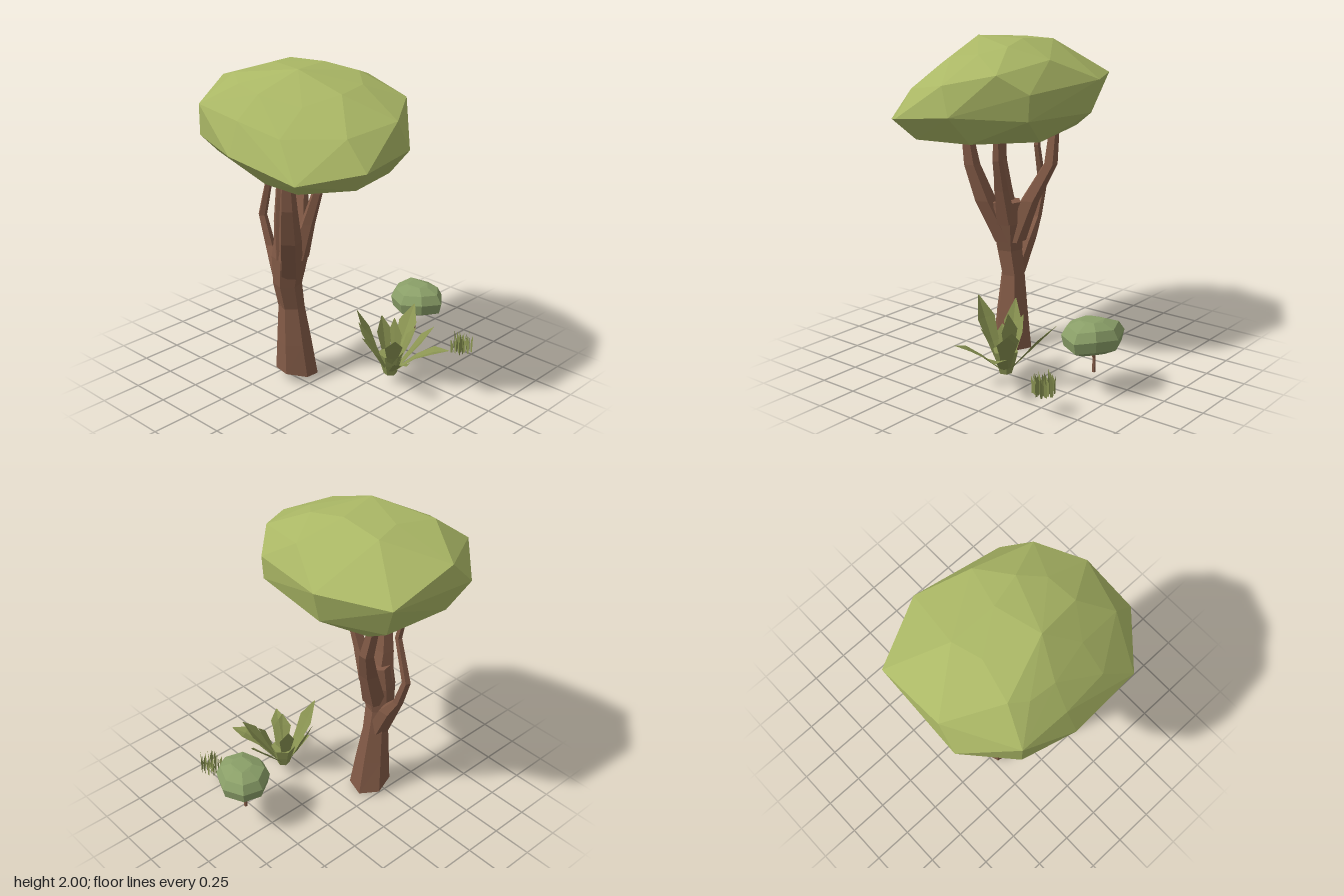
import * as THREE from 'three';
import { ConvexGeometry } from 'three/addons/geometries/ConvexGeometry.js';

const mat = (color, side = THREE.FrontSide) => new THREE.MeshStandardMaterial({ color, side, flatShading: true });
const V = (p) => new THREE.Vector3(...p);

function seeded(seed) {
  return () => {
    seed = (seed * 16807) % 2147483647;
    return seed / 2147483647;
  };
}

function add(parent, name, geometry, material) {
  const mesh = new THREE.Mesh(geometry, material);
  mesh.name = name;
  parent.add(mesh);
}

function fromTriangles(positions) {
  const g = new THREE.BufferGeometry();
  g.setAttribute('position', new THREE.Float32BufferAttribute(positions, 3));
  g.computeVertexNormals();
  return g;
}

// Faceted limb: rings [x, y, z, radius, forward tilt] joined and capped
function limb(rings, sides = 6) {
  const out = [];
  const at = ([x, y, z, r, tilt = 0], j) => {
    const a = ((j + 0.25) / sides) * Math.PI * 2;
    return [x + Math.cos(a) * r, y + Math.sin(a) * r * tilt, z + Math.sin(a) * r];
  };
  const last = rings[rings.length - 1];
  for (let j = 0; j < sides; j++) {
    for (let i = 0; i < rings.length - 1; i++) {
      const a = at(rings[i], j), b = at(rings[i], j + 1);
      const c = at(rings[i + 1], j), d = at(rings[i + 1], j + 1);
      out.push(...a, ...c, ...b, ...b, ...c, ...d);
    }
    out.push(...rings[0].slice(0, 3), ...at(rings[0], j), ...at(rings[0], j + 1));
    out.push(...last.slice(0, 3), ...at(last, j + 1), ...at(last, j));
  }
  return fromTriangles(out);
}

// Folded leaf from root to tip, bowed upward, widest beyond the middle
function leaf(root, tip, width, bow) {
  const a = V(root), b = V(tip);
  const dir = b.clone().sub(a);
  const side = new THREE.Vector3(-dir.z, 0, dir.x).normalize();
  const up = side.clone().cross(dir).normalize();
  if (up.y < 0) up.negate();
  const rows = [[0, 0.4], [0.4, 0.65], [0.72, 1], [1, 0.06]].map(([t, w]) => {
    const mid = a.clone().lerp(b, t);
    mid.y += Math.sin(t * Math.PI) * bow;
    return [-1, 0, 1].map((s) => mid.clone()
      .addScaledVector(side, s * w * width / 2)
      .addScaledVector(up, Math.abs(s) * w * width * 0.1).toArray());
  });
  const out = [];
  for (let i = 0; i < 3; i++) {
    for (let s = 0; s < 2; s++) {
      const p = rows[i][s], q = rows[i][s + 1], r = rows[i + 1][s], t = rows[i + 1][s + 1];
      out.push(...p, ...q, ...r, ...q, ...t, ...r);
    }
  }
  return fromTriangles(out);
}

function makeTree() {
  const tree = new THREE.Group();
  tree.name = 'tree';
  const bark = mat(0x825a46);

  // Trunk, cut at a slant at the foot
  add(tree, 'trunk', limb([
    [-0.14, 0.031, 0.22, 0.13, 0.25], [-0.15, 0.25, 0.23, 0.106], [-0.165, 0.48, 0.235, 0.08],
    [-0.165, 0.64, 0.265, 0.088], [-0.145, 0.82, 0.26, 0.11], [-0.13, 0.96, 0.26, 0.1],
  ]), bark);

  // Branches rising into the crown
  const branches = [
    [[-0.18, 0.48, 0.24, 0.07], [-0.29, 0.7, 0.22, 0.062], [-0.375, 0.82, 0.21, 0.034],
      [-0.435, 1.0, 0.21, 0.028], [-0.365, 1.29, 0.2, 0.022], [-0.4, 1.45, 0.2, 0.018]],
    [[-0.13, 0.7, 0.27, 0.075], [-0.04, 0.97, 0.36, 0.072], [0.015, 1.2, 0.42, 0.054], [0.04, 1.48, 0.45, 0.032]],
    [[-0.16, 0.7, 0.23, 0.08], [-0.2, 0.97, 0.13, 0.062], [-0.28, 1.2, 0.03, 0.046], [-0.34, 1.48, 0.04, 0.032]],
    [[-0.15, 0.82, 0.28, 0.085], [-0.15, 1.05, 0.31, 0.06], [-0.14, 1.22, 0.32, 0.044], [-0.135, 1.48, 0.31, 0.034]],
    [[-0.1, 0.82, 0.24, 0.07], [-0.03, 1.05, 0.22, 0.045], [0.03, 1.25, 0.2, 0.034], [0.045, 1.48, 0.19, 0.022]],
  ];
  branches.forEach((b, i) => add(tree, `branch${i + 1}`, limb(b, 5), bark));

  // Crown: underside, rim and low dome corners, all in one faceted mass
  const crown = [
    [-0.05, 1.36, 0.2], [-0.48, 1.46, 0.5], [0.05, 1.41, 0.62], [0.3, 1.41, 0.62], [0.52, 1.43, 0.4],
    [0.45, 1.43, 0.05], [0.02, 1.4, -0.12], [-0.4, 1.44, -0.08], [-0.62, 1.56, 0.3], [-0.56, 1.54, -0.1],
    [-0.67, 1.71, 0.44], [-0.42, 1.61, 0.68], [-0.09, 1.57, 0.76], [0.39, 1.5, 0.73], [0.64, 1.56, 0.45],
    [0.61, 1.6, 0.07], [0.3, 1.57, -0.25], [-0.24, 1.56, -0.3], [0.3, 1.72, -0.26], [-0.25, 1.76, -0.35],
    [-0.65, 1.75, -0.15], [-0.65, 1.86, 0.3], [-0.42, 1.79, 0.68], [-0.1, 1.75, 0.68], [0.2, 1.7, 0.65],
    [0.58, 1.77, 0.14], [0.5, 1.72, 0.45], [0.42, 1.83, -0.12], [0.05, 1.89, -0.21], [-0.33, 1.97, 0.05],
    [0.03, 2, 0.34], [-0.04, 1.99, 0.06], [0.17, 1.96, 0], [0.3, 1.92, 0.11], [0.32, 1.9, 0.3],
    [-0.28, 1.98, 0.23], [-0.34, 1.95, 0.48], [-0.24, 1.91, 0.54], [-0.07, 1.88, 0.55], [0.2, 1.84, 0.48],
  ];
  add(tree, 'crown', new ConvexGeometry(crown.map(V)), mat(0xaab765));
  return tree;
}

function makeShrub() {
  const shrub = new THREE.Group();
  shrub.name = 'shrub';
  // Uneven outline of the crown, repeated as layers [height, scale]
  const outline = [[0.13, -0.765], [0.27, -0.71], [0.345, -0.61], [0.29, -0.48], [0.16, -0.425],
    [0.04, -0.47], [-0.03, -0.585], [-0.01, -0.715]];
  const layers = [[0.257, 0.5], [0.295, 0.92], [0.36, 1], [0.415, 0.82], [0.445, 0.4]];
  const pts = layers.flatMap(([y, s]) => outline.map(([x, z], i) => new THREE.Vector3(
    0.155 + (x - 0.155) * s, y + (i % 2 ? 0.008 : -0.006) * s, -0.6 + (z + 0.6) * s)));
  add(shrub, 'shrubCrown', new ConvexGeometry(pts), mat(0x8a9f68));
  const bark = mat(0x825a46);
  add(shrub, 'shrubStem', limb([[0.132, 0.12, -0.6, 0.012], [0.13, 0.2, -0.6, 0.009], [0.13, 0.3, -0.6, 0.012]], 5), bark);
  [[0.1, -0.57], [0.16, -0.62], [0.14, -0.565]].forEach(([x, z], i) => {
    add(shrub, `shrubTwig${i + 1}`, limb([[0.13, 0.2, -0.6, 0.007], [x, 0.29, z, 0.006]], 4), bark);
  });
  return shrub;
}

function makeLeafyPlant() {
  const plant = new THREE.Group();
  plant.name = 'leafyPlant';
  const green = mat(0x8a9452, THREE.DoubleSide);
  // Leaves: [tip x, y, z, width, bow]
  const leaves = [
    [0.27, 0.4, -0.43, 0.12, 0], [0.66, 0.26, -0.29, 0.12, 0.04], [0.54, 0.38, -0.29, 0.12, 0],
    [0.61, 0.27, 0.05, 0.1, 0.02], [0.3, 0.48, 0.13, 0.13, -0.02], [0.14, 0.45, -0.03, 0.11, -0.03],
    [0.23, 0.4, -0.16, 0.1, 0], [0.46, 0.35, -0.02, 0.11, 0.01], [0.35, 0.43, -0.14, 0.12, 0],
    [0.44, 0.36, -0.24, 0.11, 0.01], [0.22, 0.3, 0.01, 0.1, 0.01],
  ];
  leaves.forEach(([x, y, z, w, bow], i) => {
    const a = Math.atan2(z + 0.115, x - 0.345);
    const root = [0.345 + Math.cos(a) * 0.03, 0.08, -0.115 + Math.sin(a) * 0.03];
    add(plant, `leaf${i + 1}`, leaf(root, [x, y, z], w, bow), green);
  });
  add(plant, 'leafBase', limb([[0.345, 0.06, -0.115, 0.04], [0.345, 0.13, -0.115, 0.062], [0.345, 0.2, -0.115, 0.08]], 6), green);
  return plant;
}

function makeGrass() {
  const rand = seeded(97);
  const out = [];
  // Narrow blades scattered over a disc
  for (let i = 0; i < 28; i++) {
    const a = i * 2.4, r = 0.068 * Math.sqrt((i + 0.5) / 28);
    const x = 0.553 + Math.cos(a) * r, z = -0.56 + Math.sin(a) * r;
    const turn = rand() * Math.PI, h = 0.085 + rand() * 0.06;
    const dx = Math.cos(turn) * 0.01, dz = Math.sin(turn) * 0.01;
    const l = [x - dx * 0.7, 0.12, z - dz * 0.7], q = [x + dx * 0.7, 0.12, z + dz * 0.7];
    const m = [x - dx * 0.7, 0.12 + h * 0.6, z - dz * 0.7], n = [x + dx, 0.12 + h * 0.6, z + dz];
    const tip = [x + dx * 1.2, 0.12 + h, z + dz * 1.2];
    out.push(...l, ...q, ...m, ...q, ...n, ...m, ...m, ...n, ...tip);
  }
  const grass = new THREE.Mesh(fromTriangles(out), mat(0x8a9452, THREE.DoubleSide));
  grass.name = 'grassTuft';
  return grass;
}

export function createModel() {
  const model = new THREE.Group();
  model.name = 'treeAndPlants';
  model.add(makeTree(), makeShrub(), makeLeafyPlant(), makeGrass());
  return model;
}
